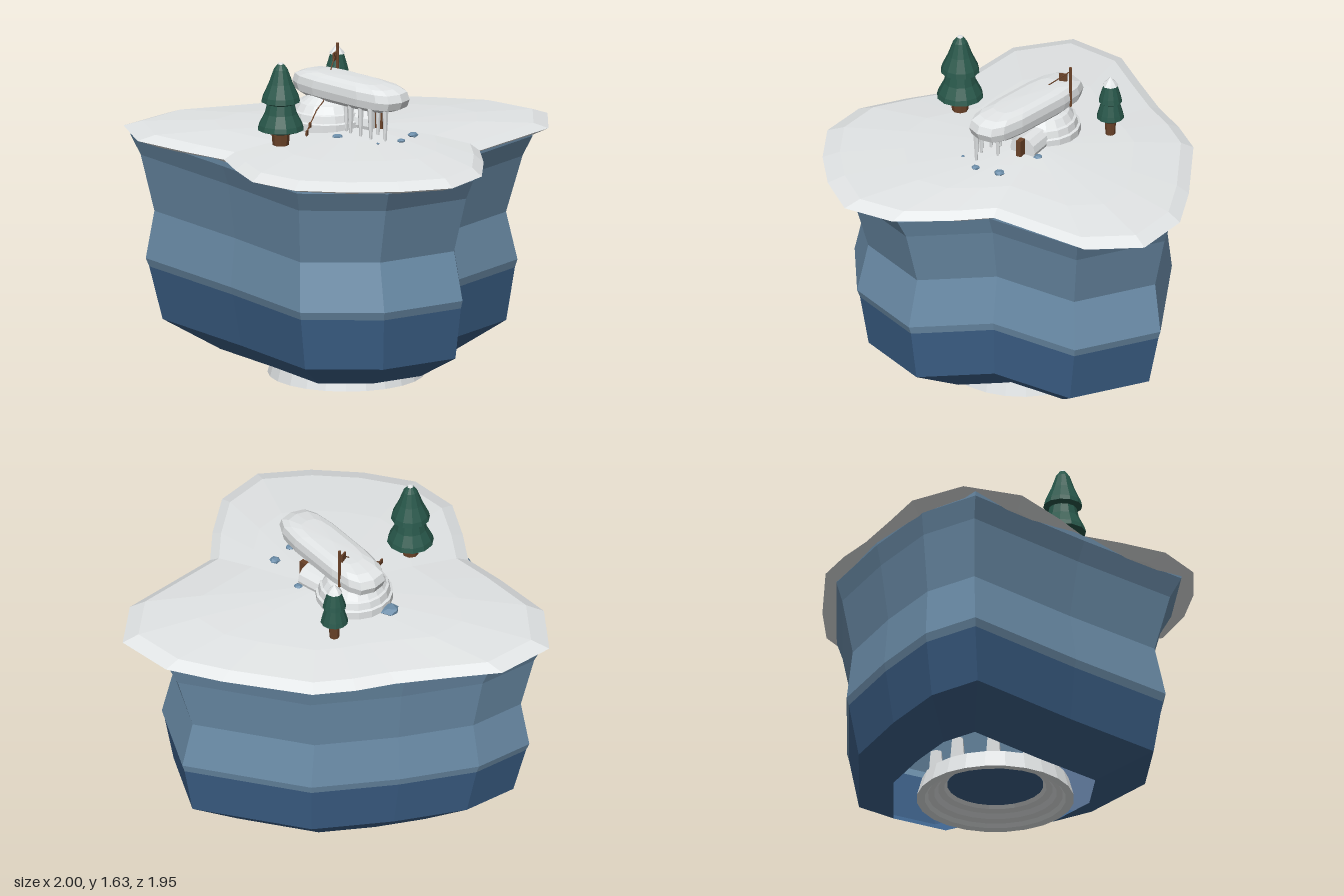
import * as THREE from 'three';

const mat = (name, color, extra = {}) =>
  Object.assign(new THREE.MeshStandardMaterial({ color, flatShading: true, ...extra }), { name });

export function createModel() {
  const root = new THREE.Group();
  root.name = 'icebergIsland';
  const snow = mat('snow', 0xe2e5e6);
  const ice = mat('paleIce', 0x6c8eaa, { side: THREE.DoubleSide });
  const deep = mat('deepIce', 0x3c6088, { side: THREE.DoubleSide });
  const green = mat('pineGreen', 0x28574a);
  const wood = mat('wood', 0x6b4329);

  const add = (name, geo, material, parent = root) => {
    const m = new THREE.Mesh(geo, material);
    m.name = name;
    parent.add(m);
    return m;
  };

  // Lofts copies [scale, y, dx, dz] of an outline from bottom to top (outline runs anticlockwise from above)
  const loft = (outline, rings, closed = false) => {
    const n = outline.length, pos = [], index = [];
    for (const [s, y, dx = 0, dz = 0] of rings)
      for (const [x, z] of outline) pos.push(x * s + dx, y, z * s + dz);
    for (let r = 0; r < rings.length - 1; r++)
      for (let i = 0; i < n; i++) {
        const j = (i + 1) % n, a = r * n, b = a + n;
        index.push(a + i, a + j, b + j, a + i, b + j, b + i);
      }
    const fan = (r, up, y) => {
      const c = pos.length / 3;
      pos.push(0, y, 0.05);
      for (let i = 0; i < n; i++) {
        const p = r * n + i, q = r * n + (i + 1) % n;
        index.push(c, ...(up ? [p, q] : [q, p]));
      }
    };
    if (closed) {
      fan(0, false, rings[0][1]);
      fan(rings.length - 1, true, rings.at(-1)[1] + 0.012);
    }
    const g = new THREE.BufferGeometry();
    g.setAttribute('position', new THREE.Float32BufferAttribute(pos, 3));
    g.setIndex(index);
    const flat = g.toNonIndexed();
    flat.computeVertexNormals();
    return flat;
  };

  const lathe = (pts, sides) =>
    new THREE.LatheGeometry(pts.map(([r, y]) => new THREE.Vector2(r, y)), sides);

  // Thin rod between two points
  const rod = (name, a, b, r) => {
    const A = new THREE.Vector3(...a), B = new THREE.Vector3(...b);
    const m = add(name, new THREE.CylinderGeometry(r, r, A.distanceTo(B), 6), wood);
    m.position.copy(A).lerp(B, 0.5);
    m.quaternion.setFromUnitVectors(new THREE.Vector3(0, 1, 0), B.sub(A).normalize());
  };

  // Snow cap
  const capOutline = [
    [0, -0.94], [-0.24, -0.78], [-0.59, -0.49], [-0.69, -0.3], [-0.76, -0.11], [-0.88, 0.13],
    [-1, 0.36], [-0.98, 0.66], [-0.72, 0.82], [-0.4, 0.8], [-0.17, 0.77], [0.01, 0.87],
    [0.23, 0.97], [0.49, 0.94], [0.7, 0.78], [0.87, 0.59], [1, 0.36], [0.94, 0.1],
    [0.75, -0.1], [0.58, -0.24], [0.51, -0.78], [0.3, -0.98],
  ];
  add('snowCap', loft(capOutline,
    [[0.9, 1.125], [1, 1.16], [0.92, 1.19], [0.62, 1.213], [0.3, 1.225]], true), snow);

  // Ice body, pale above and deep blue below the waterline, open underneath
  const bodyOutline = [
    [0.46, 0.89], [0.78, 0.58], [0.89, 0.11], [0.56, -0.19], [0.48, -0.7], [0.03, -0.9],
    [-0.53, -0.47], [-0.75, -0.05], [-0.91, 0.35], [-0.91, 0.68], [-0.17, 0.78],
  ];
  add('upperIce', loft(bodyOutline,
    [[0.91, 0.47, -0.01, 0.005], [0.925, 0.51, -0.01, 0.005], [0.875, 0.75, -0.025, 0.01],
      [0.95, 1.03, -0.01], [1, 1.13], [1, 1.155]]), ice);
  add('lowerIce', loft(bodyOutline,
    [[0.585, 0.065, -0.03, 0.01], [0.855, 0.21, 0, 0.01], [0.91, 0.47, -0.01, 0.005]]), deep);

  // Stepped ring underneath with a dark centre and icy columns rising into the hollow
  const base = new THREE.Group();
  base.name = 'baseRing';
  base.position.set(0, 0, 0.1);
  root.add(base);
  add('ring', lathe([[0.23, 0.085], [0.25, 0.06], [0.28, 0.05], [0.3, 0.03], [0.33, 0.02],
    [0.345, 0.002], [0.385, 0], [0.36, 0.09], [0.23, 0.12]], 24), snow, base);
  add('ringCentre', new THREE.CylinderGeometry(0.235, 0.235, 0.01, 24), deep, base).position.y = 0.08;
  for (let i = 0; i < 10; i++) {
    const a = i / 10 * Math.PI * 2;
    add('column', new THREE.CylinderGeometry(0.03, 0.04, 0.12, 6), snow, base)
      .position.set(0.3 * Math.cos(a), 0.15, 0.3 * Math.sin(a));
  }

  // Snow hut with stepped courses and an entrance tunnel
  const hut = new THREE.Group();
  hut.name = 'snowHut';
  root.add(hut);
  add('dome', lathe([[0.19, 1.21], [0.19, 1.262], [0.178, 1.267], [0.17, 1.302], [0.158, 1.307],
    [0.135, 1.342], [0.12, 1.347], [0.07, 1.38], [0, 1.39]], 18), snow, hut)
    .position.set(-0.14, 0, 0.1);
  const tunnel = new THREE.Group();
  tunnel.name = 'entrance';
  tunnel.position.set(0.01, 1.25, 0.02);
  tunnel.rotation.y = 0.2;
  hut.add(tunnel);
  add('tunnel', new THREE.CylinderGeometry(0.07, 0.07, 0.2, 12), snow, tunnel).rotation.z = Math.PI / 2;
  add('door', new THREE.BoxGeometry(0.04, 0.085, 0.026), wood, tunnel).position.set(0.12, 0.025, 0.0);

  // Long rounded snow slab on the hut
  const slab = new THREE.SphereGeometry(1, 14, 8);
  const p = slab.attributes.position;
  const soft = (v, e) => Math.sign(v) * Math.abs(v) ** e;
  for (let i = 0; i < p.count; i++)
    p.setXYZ(i, 0.355 * soft(p.getX(i), 0.55), 0.07 * soft(p.getY(i), 0.65), 0.118 * soft(p.getZ(i), 0.6));
  slab.computeVertexNormals();
  add('snowSlab', slab, snow).position.set(0.003, 1.417, 0.072);

  // Icicles under the free end of the slab
  [[0.05, 0.15, 0.01], [0.09, 0.16, 0.018], [0.13, 0.13, 0.014], [0.16, 0.16, 0.016],
    [0.23, 0.16, 0.018], [0.3, 0.13, 0.016], [0.2, 0.08, 0.014]].forEach(([x, z, r]) => {
    add('icicle', new THREE.CylinderGeometry(r, 0.007, 0.16, 6), snow).position.set(x, 1.3, z);
  });

  // Pine trees built from a trunk and two bell-shaped tiers
  const tree = (name, x, z, trunkR, lower, upper, tip) => {
    const g = new THREE.Group();
    g.name = name;
    g.position.set(x, 0, z);
    root.add(g);
    add('trunk', new THREE.CylinderGeometry(trunkR, trunkR * 0.8, 0.12, 8), wood, g).position.y = 1.28;
    add('lowerBranches', lathe(lower, 12), green, g);
    add('upperBranches', lathe(upper, 12), green, g);
    add('snowTip', lathe(tip, 8), snow, g);
  };
  tree('largePine', -0.02, 0.53, 0.05,
    [[0, 1.3], [0.07, 1.285], [0.115, 1.3], [0.108, 1.325], [0.08, 1.38], [0.06, 1.46]],
    [[0, 1.44], [0.06, 1.425], [0.096, 1.44], [0.09, 1.465], [0.06, 1.53], [0.035, 1.6], [0.016, 1.626], [0, 1.628]],
    [[0.018, 1.622], [0.012, 1.632], [0, 1.635]]);
  tree('smallPine', -0.34, -0.17, 0.03,
    [[0, 1.31], [0.045, 1.3], [0.068, 1.315], [0.062, 1.34], [0.038, 1.42]],
    [[0, 1.4], [0.035, 1.39], [0.058, 1.405], [0.052, 1.43], [0.034, 1.49], [0, 1.53]],
    [[0.04, 1.492], [0.03, 1.505], [0, 1.538]]);

  // Pole with a line of small pennants draped over the slab
  rod('pole', [-0.2, 1.38, -0.035], [-0.2, 1.595, -0.035], 0.008);
  const line = [[-0.2, 1.575, -0.035], [-0.15, 1.485, 0.06], [-0.08, 1.36, 0.18], [-0.07, 1.33, 0.235], [-0.02, 1.24, 0.36]];
  for (let i = 0; i < line.length - 1; i++) rod('pennantLine', line[i], line[i + 1], 0.003);
  [[-0.185, 1.535, 0], [-0.05, 1.27, 0.3], [-0.02, 1.245, 0.35]].forEach((q, i) => {
    const f = add('pennant', new THREE.BoxGeometry(0.008, i ? 0.025 : 0.04, i ? 0.03 : 0.04), wood);
    f.position.set(...q);
    f.rotation.y = 0.5;
  });

  // Scattered ice rocks
  [[0.08, -0.075, 0.026], [0.32, -0.04, 0.028], [0.36, 0.08, 0.022], [0.085, 0.245, 0.028],
    [-0.335, 0.17, 0.05], [0.32, 0.2, 0.009]].forEach(([x, z, r], i) => {
    const m = add('iceRock', new THREE.IcosahedronGeometry(r, 0), ice);
    m.position.set(x, 1.228, z);
    m.scale.y = 0.5;
    m.rotation.y = i * 1.3;
  });

  return root;
}
